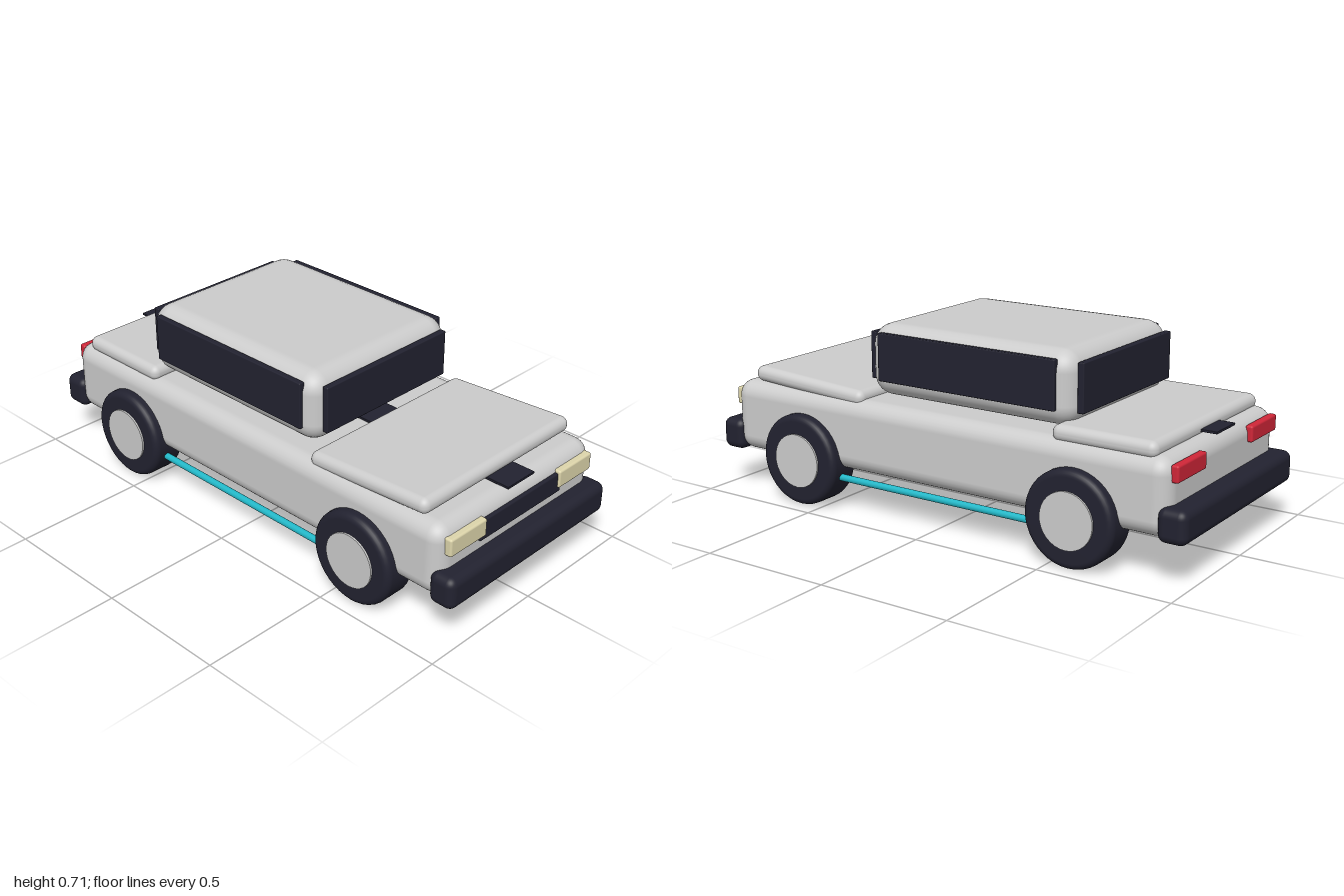
import * as THREE from 'three';
import { RoundedBoxGeometry } from 'three/addons/geometries/RoundedBoxGeometry.js';

const material = (name, color) => {
  const m = new THREE.MeshStandardMaterial({ color });
  m.name = name;
  return m;
};

export function createModel() {
  const car = new THREE.Group();
  car.name = 'car';
  const paint = material('silver paint', 0xcccccc);
  const dark = material('dark rubber and glass', 0x222230);
  const cream = material('headlight cream', 0xddd5ab);
  const red = material('taillight red', 0xd02638);
  const cyan = material('cyan trim', 0x22b8c8);

  const add = (name, geometry, mat, parent = car) => {
    const mesh = new THREE.Mesh(geometry, mat);
    mesh.name = name;
    parent.add(mesh);
    return mesh;
  };
  // Rounded block given by its extents on each axis
  const block = (name, mat, [x0, x1], [y0, y1], [z0, z1], radius, segments = 4) => {
    const mesh = add(name, new RoundedBoxGeometry(x1 - x0, y1 - y0, z1 - z0, segments, radius), mat);
    mesh.position.set((x0 + x1) / 2, (y0 + y1) / 2, (z0 + z1) / 2);
    return mesh;
  };

  // Shell
  block('body', paint, [-0.41, 0.41], [0.155, 0.428], [-0.93, 0.935], 0.06);
  block('cabin', paint, [-0.35, 0.35], [0.444, 0.708], [-0.535, 0.325], 0.075);
  block('trunkLid', paint, [-0.385, 0.385], [0.41, 0.47], [-0.87, -0.475], 0.028);
  const hood = block('hood', paint, [-0.385, 0.385], [0.415, 0.474], [0.33, 0.85], 0.028);
  hood.rotation.x = -0.062;

  // Thin strip running the length of the car under the cabin
  block('centreStrip', dark, [-0.07, 0.07], [0.433, 0.442], [-0.93, 0.935], 0.002, 1);

  // Windows
  block('windshield', dark, [-0.304, 0.304], [0.496, 0.671], [0.318, 0.342], 0.004, 2);
  block('rearWindow', dark, [-0.304, 0.304], [0.496, 0.671], [-0.555, -0.53], 0.004, 2);

  // Bumpers and grille
  block('frontBumper', dark, [-0.42, 0.42], [0.152, 0.271], [0.898, 1], 0.03);
  block('rearBumper', dark, [-0.42, 0.42], [0.152, 0.271], [-1, -0.892], 0.03);
  block('grille', dark, [-0.215, 0.215], [0.304, 0.381], [0.915, 0.946], 0.006, 2);

  // Tyre and hub profiles, spun about the axle
  const R = 0.173;
  const w = 0.0675;
  const bevel = 0.024;
  const tyreProfile = [[0, -w], [R - bevel, -w]];
  for (let i = 1; i < 6; i++) {
    const a = (i / 6) * Math.PI / 2;
    tyreProfile.push([R - bevel + bevel * Math.sin(a), -w + bevel - bevel * Math.cos(a)]);
  }
  tyreProfile.push([R, -w + bevel]);
  const mirrored = tyreProfile.map(([r, y]) => [r, -y]).reverse();
  const tyreGeometry = new THREE.LatheGeometry(
    [...tyreProfile, ...mirrored].map(([r, y]) => new THREE.Vector2(r, y)), 40);
  const hubGeometry = new THREE.CylinderGeometry(0.102, 0.102, 0.146, 32);

  for (const s of [1, -1]) {
    const side = s > 0 ? 'left' : 'right';
    const span = (a, b) => (s > 0 ? [a, b] : [-b, -a]);
    block(side + 'SideWindow', dark, span(0.338, 0.361), [0.506, 0.682], [-0.475, 0.267], 0.004, 2);
    block(side + 'Headlight', cream, span(0.195, 0.376), [0.324, 0.391], [0.92, 0.954], 0.008, 2);
    block(side + 'Taillight', red, span(0.175, 0.376), [0.346, 0.406], [-0.948, -0.918], 0.008, 2);

    // Sill pipe between the wheels
    const pipe = add(side + 'SillPipe', new THREE.CylinderGeometry(0.013, 0.013, 0.9, 16), cyan);
    pipe.rotation.x = Math.PI / 2;
    pipe.position.set(s * 0.395, 0.125, 0);

    for (const [end, z] of [['Front', 0.588], ['Rear', -0.584]]) {
      const wheel = new THREE.Group();
      wheel.name = side + end + 'Wheel';
      wheel.position.set(s * 0.383, 0.174, z);
      wheel.rotation.z = -s * Math.PI / 2;
      add('tyre', tyreGeometry, dark, wheel);
      add('hub', hubGeometry, paint, wheel).position.y = 0.0015;
      car.add(wheel);
    }
  }
  return car;
}
